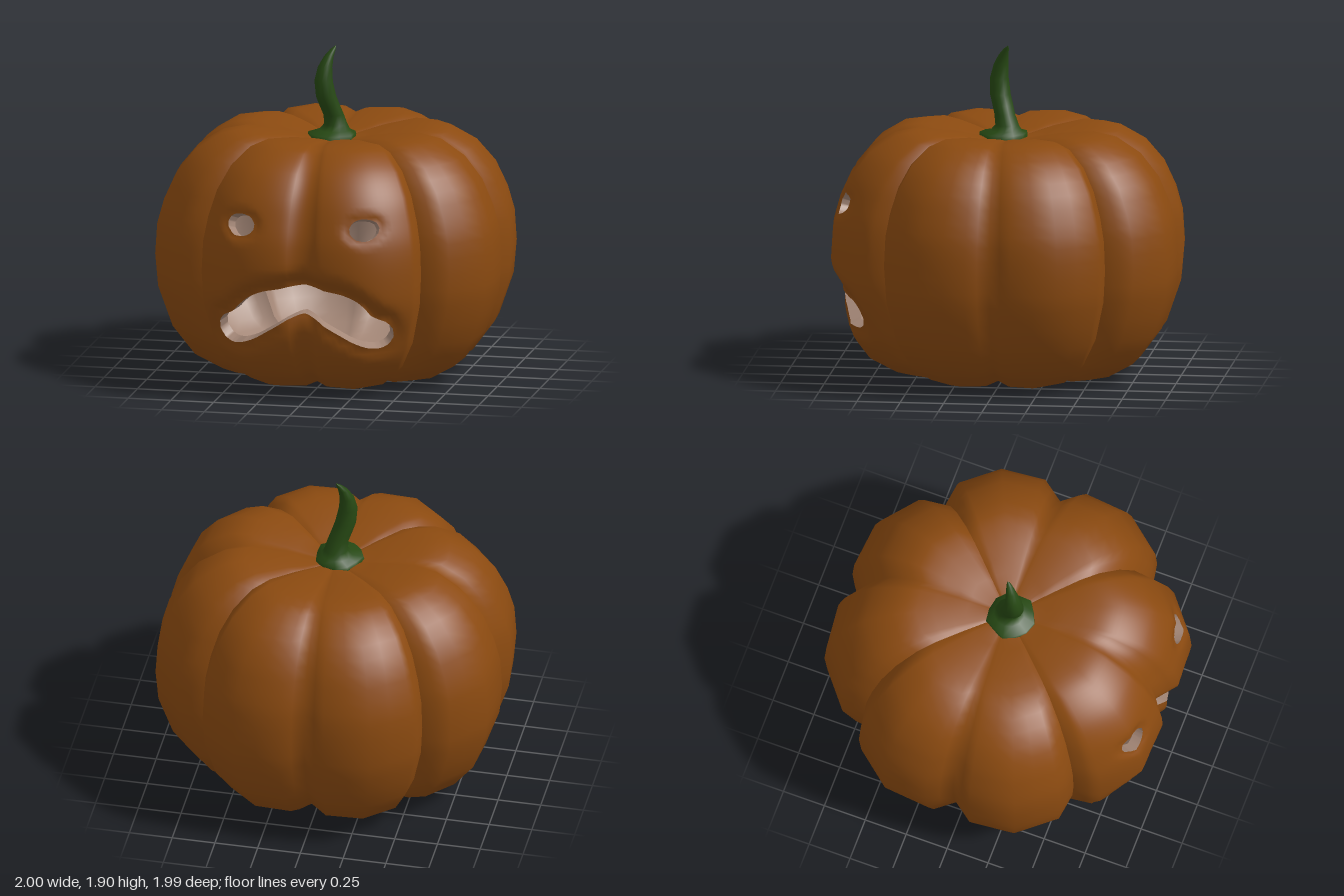
import * as THREE from 'three';
import { mergeVertices } from 'three/addons/utils/BufferGeometryUtils.js';

const V2 = (a) => new THREE.Vector2(a[0], a[1]);
const clamp = THREE.MathUtils.clamp;
const lerp = THREE.MathUtils.lerp;

// Rib profile, radius and height, from the crown to the underside
const profile = new THREE.SplineCurve([
  [0, 1.36], [0.15, 1.378], [0.33, 1.415], [0.53, 1.435], [0.67, 1.41], [0.82, 1.32],
  [0.93, 1.19], [1.0, 1.04], [1.04, 0.9], [1.052, 0.72], [1.035, 0.53], [0.95, 0.29],
  [0.82, 0.12], [0.66, 0.03], [0.53, 0.0], [0.36, 0.03], [0.18, 0.1], [0, 0.13],
].map(V2));
const ROWS = profile.points.length - 1;

// Each quarter of the skin has two ribs of four facets
const ANGLES = [0, 7.5, 22.5, 37.5, 45, 52.5, 67.5, 82.5, 90];
const COLS = ANGLES.length - 1;

// Mouth: circles strung along a drooping arc (x, y, radius), mirrored in x
const mouthArc = new THREE.CatmullRomCurve3([
  [-0.12, 0.572, 0.095], [0, 0.595, 0.085], [0.12, 0.572, 0.095], [0.25, 0.515, 0.113],
  [0.35, 0.44, 0.1], [0.42, 0.41, 0.09],
].map((a) => new THREE.Vector3(...a))).getPoints(60);

function mouthDistance(x, y) {
  let d = 9;
  for (const c of mouthArc) d = Math.min(d, Math.hypot(Math.abs(x) - c.x, y - c.y) - c.z);
  return d;
}
const eyeDistance = (x, y) =>
  (Math.hypot((Math.abs(x) - 0.36) / 0.083, (y - 1.03) / 0.062) - 1) * 0.07;

// How far the skin curls inward around the openings
function dent(x, y) {
  const m = Math.max(mouthDistance(x, y), 0) / 0.06;
  const e = Math.max(eyeDistance(x, y), 0) / 0.03;
  const depth = 0.03 + 0.04 * clamp((y - 0.45) / 0.13, 0, 1);
  return depth * Math.exp(-m * m) + 0.015 * Math.exp(-e * e);
}

// Smooth ribbed surface of the front quarter
function ribbed(u, v) {
  const i = Math.min(Math.floor(u), COLS - 1);
  const deg = lerp(ANGLES[i], ANGLES[i + 1], u - i);
  const rib = Math.sqrt(Math.abs(Math.sin(deg * Math.PI / 45)));
  const p = profile.getPoint(v / ROWS);
  const r = Math.max(p.x, 0) * (0.857 + 0.143 * rib);
  const y = 0.72 + (p.y - 0.72) * (1 - 0.045 * (1 - rib) * Math.min(1, p.x / 0.4));
  const a = (deg - 45) * Math.PI / 180;
  return new THREE.Vector3(r * Math.sin(a), y, r * Math.cos(a));
}

// The same surface made of facets
function faceted(u, v) {
  const i = Math.min(Math.floor(u), COLS - 1);
  const j = Math.min(Math.floor(v), ROWS - 1);
  const top = ribbed(i, j).lerp(ribbed(i + 1, j), u - i);
  const low = ribbed(i, j + 1).lerp(ribbed(i + 1, j + 1), u - i);
  return top.lerp(low, v - j);
}

function skinPoint(u, v, carved) {
  const p = faceted(u, v);
  const cut = carved ? Math.min(mouthDistance(p.x, p.y), eyeDistance(p.x, p.y)) : 1;
  const at = (a, b) => ribbed(clamp(a, 0, COLS), clamp(b, 0, ROWS));
  const w = clamp(v, 0.3, ROWS - 0.3);
  const du = at(u + 0.6, w).sub(at(u - 0.6, w));
  const dv = at(u, v + 0.3).sub(at(u, v - 0.3));
  const n = dv.cross(du).normalize();
  if (carved && p.z > 0.3) {
    const e = 0.008;
    const dx = (dent(p.x + e, p.y) - dent(p.x - e, p.y)) / (2 * e);
    const dy = (dent(p.x, p.y + e) - dent(p.x, p.y - e)) / (2 * e);
    n.set(n.x + n.z * dx, n.y + n.z * dy, n.z).normalize();
    p.z -= dent(p.x, p.y);
  }
  return { u, v, p, n, cut, edge: false };
}

const inward = (p) => new THREE.Vector3(p.x * 0.935, 0.72 + (p.y - 0.72) * 0.935, p.z * 0.935);

function geometryFrom(points, normals) {
  const g = new THREE.BufferGeometry().setFromPoints(points);
  if (normals) g.setAttribute('normal', new THREE.Float32BufferAttribute(normals.flatMap((n) => n.toArray()), 3));
  const merged = mergeVertices(g);
  if (!normals) merged.computeVertexNormals();
  return merged;
}

// Outer skin, inner wall and cut rims of one quarter
function buildQuarter(carved, subU, subV) {
  const grid = [];
  for (let j = 0; j <= ROWS * subV; j++) {
    grid.push([]);
    for (let i = 0; i <= COLS * subU; i++) grid[j].push(skinPoint(i / subU, j / subV, carved));
  }
  const outer = [], outerN = [], inner = [], innerN = [], rim = [];
  const addTriangle = (tri) => {
    // Keep only the part outside the openings
    const poly = [];
    tri.forEach((a, k) => {
      const b = tri[(k + 1) % 3];
      if (a.cut > 0) poly.push(a);
      if ((a.cut > 0) !== (b.cut > 0)) {
        const t = a.cut / (a.cut - b.cut);
        poly.push({ p: a.p.clone().lerp(b.p, t), n: a.n.clone().lerp(b.n, t).normalize(), edge: true });
      }
    });
    for (let k = 1; k + 1 < poly.length; k++) {
      const [a, b, c] = [poly[0], poly[k], poly[k + 1]];
      outer.push(a.p, b.p, c.p);
      outerN.push(a.n, b.n, c.n);
      inner.push(inward(a.p), inward(c.p), inward(b.p));
      innerN.push(...[a, c, b].map((q) => q.n.clone().negate()));
    }
    poly.forEach((a, k) => {
      const b = poly[(k + 1) % poly.length];
      if (!a.edge || !b.edge) return;
      const A = inward(a.p), B = inward(b.p);
      rim.push(a.p, A, B, a.p, B, b.p);
    });
  };
  for (let j = 0; j < ROWS * subV; j++) {
    for (let i = 0; i < COLS * subU; i++) {
      const a = grid[j][i], b = grid[j + 1][i], c = grid[j + 1][i + 1], d = grid[j][i + 1];
      addTriangle([a, b, c]);
      addTriangle([a, c, d]);
    }
  }
  return {
    skin: geometryFrom(outer, outerN),
    wall: geometryFrom(inner, innerN),
    rim: rim.length ? geometryFrom(rim) : null,
  };
}

// Curved stem of rings: x, y, z, radius, with a wavy foot
function buildStem() {
  const rings = [
    [-0.015, 1.37, 0.025, 0.14], [-0.015, 1.393, 0.025, 0.135], [-0.005, 1.408, 0.01, 0.09],
    [0, 1.44, 0.005, 0.068], [-0.01, 1.5, 0.02, 0.06], [-0.028, 1.55, 0.033, 0.06],
    [-0.047, 1.61, 0.05, 0.06], [-0.06, 1.7, 0.057, 0.054], [-0.054, 1.78, 0.047, 0.042],
    [-0.035, 1.84, 0.03, 0.028], [-0.014, 1.88, 0.011, 0.015], [0, 1.9, 0, 0.001],
  ];
  const N = 12, pts = [], index = [];
  rings.forEach(([x, y, z, r], j) => {
    for (let i = 0; i < N; i++) {
      const a = i / N * Math.PI * 2;
      const rr = j < 2 ? r * (1 + 0.06 * Math.cos(a * 5 + 1)) : r;
      pts.push(new THREE.Vector3(x + rr * Math.sin(a), y, z + rr * Math.cos(a)));
      if (j === 0) continue;
      const k = (i + 1) % N, lo = (j - 1) * N, hi = j * N;
      index.push(lo + i, lo + k, hi + k, lo + i, hi + k, hi + i);
    }
  });
  const g = new THREE.BufferGeometry().setFromPoints(pts);
  g.setIndex(index);
  g.computeVertexNormals();
  return g;
}

export function createModel() {
  const material = (name, color) => Object.assign(new THREE.MeshStandardMaterial({ color }), { name });
  const orange = material('pumpkin orange', 0x8b4a10);
  const flesh = material('pale flesh', 0xa38676);
  const green = material('stem green', 0x264813);

  const model = new THREE.Group();
  model.name = 'carvedPumpkin';
  const add = (name, geometry, mat, turn = 0) => {
    const mesh = new THREE.Mesh(geometry, mat);
    mesh.name = name;
    mesh.rotation.y = turn;
    model.add(mesh);
  };

  // Carved front quarter
  const face = buildQuarter(true, 8, 5);
  add('faceSkin', face.skin, orange);
  add('faceInnerWall', face.wall, flesh);
  add('faceCutRims', face.rim, flesh);

  // Plain side and back quarters
  const plain = buildQuarter(false, 2, 2);
  ['left', 'back', 'right'].forEach((side, i) => {
    add(side + 'Skin', plain.skin, orange, (i + 1) * Math.PI / 2);
    add(side + 'InnerWall', plain.wall, flesh, (i + 1) * Math.PI / 2);
  });

  add('stem', buildStem(), green);
  return model;
}
